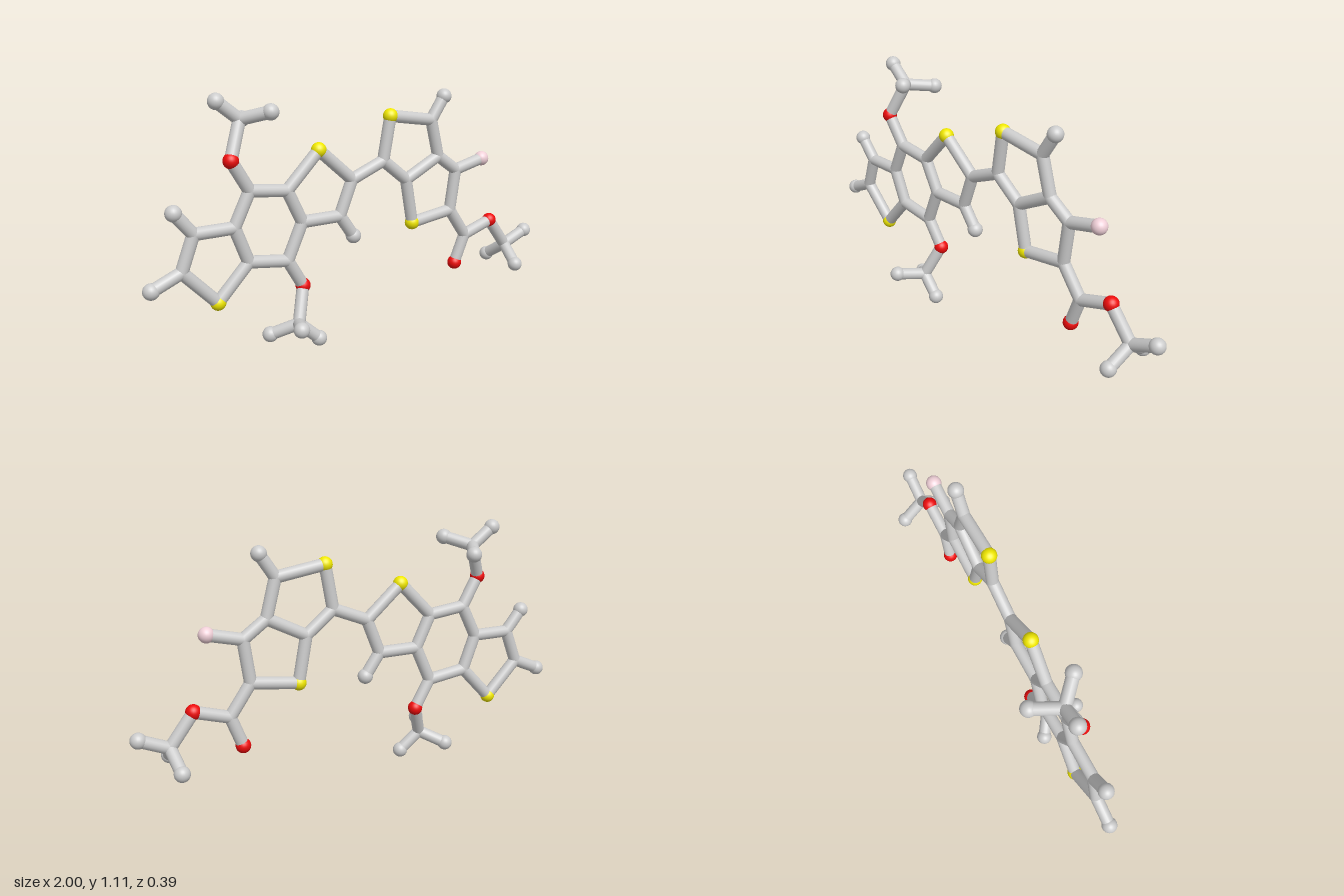
import * as THREE from 'three';

const BOND_RADIUS = 0.027;

// element: [part name, ball radius, colour]
const ELEMENTS = {
  C: ['carbon', 0.027, 0xcccccc],
  H: ['hydrogen', 0.034, 0xcccccc],
  O: ['oxygen', 0.033, 0xee0c0c],
  S: ['sulfur', 0.033, 0xf0e800],
  F: ['fluorine', 0.034, 0xf0d0d8],
};

// The rings lie in one plane that leans very slightly backwards
const planeZ = (y) => -0.022 + 0.025 * y;

// key: [element, x, y, optional z]
const ATOMS = {
  // left five-sided ring
  s1: ['S', -0.69, 0.265], a1: ['C', -0.84, 0.42], a2: ['C', -0.785, 0.57],
  h1: ['H', -0.967, 0.365], h2: ['H', -0.863, 0.665],
  // six-sided ring
  b1: ['C', -0.61, 0.57], b2: ['C', -0.54, 0.715], b3: ['C', -0.37, 0.695],
  b4: ['C', -0.30, 0.55], b5: ['C', -0.37, 0.39], b6: ['C', -0.55, 0.415],
  // middle five-sided ring
  s2: ['S', -0.22, 0.85], c1: ['C', -0.055, 0.705], c2: ['C', -0.115, 0.55],
  h3: ['H', -0.045, 0.45],
  // upper right ring
  d1: ['C', 0.105, 0.77], s3: ['S', 0.138, 0.965], d2: ['C', 0.36, 0.93],
  d3: ['C', 0.405, 0.76], d4: ['C', 0.23, 0.67], h4: ['H', 0.427, 1.032],
  // lower right ring
  s4: ['S', 0.27, 0.465], e1: ['C', 0.485, 0.495], e2: ['C', 0.51, 0.685],
  f1: ['F', 0.662, 0.722],
  // upper side group
  o1: ['O', -0.62, 0.847, 0.005], m1: ['C', -0.555, 1.0, -0.045],
  h5: ['H', -0.65, 1.077, -0.05], h6: ['H', -0.46, 1.033, 0.045], h7: ['H', -0.49, 0.983, -0.163],
  // lower side group
  o2: ['O', -0.295, 0.265, -0.02], m2: ['C', -0.35, 0.12, 0.04],
  h8: ['H', -0.403, 0.143, 0.163], h9: ['H', -0.452, 0.07, -0.03], h10: ['H', -0.258, 0.038, 0.05],
  // right-hand side group
  k1: ['C', 0.58, 0.36], o3: ['O', 0.53, 0.227, -0.02], o4: ['O', 0.735, 0.408, -0.016],
  m3: ['C', 0.84, 0.27, -0.02], h11: ['H', 0.965, 0.323, -0.018],
  h12: ['H', 0.822, 0.196, 0.086], h13: ['H', 0.822, 0.196, -0.128],
};

// Each chain joins its atoms in order
const CHAINS = [
  'b6 s1 a1 a2 b1', 'a1 h1', 'a2 h2',
  'b1 b2 b3 b4 b5 b6 b1',
  'b3 s2 c1 c2 b4', 'c2 h3', 'c1 d1',
  'd1 s3 d2 d3 d4 d1', 'd2 h4',
  'd4 s4 e1 e2 d3', 'e2 f1',
  'b2 o1 m1 h5', 'h6 m1 h7',
  'b5 o2 m2 h8', 'h9 m2 h10',
  'e1 k1 o4 m3 h11', 'k1 o3', 'h12 m3 h13',
];

export function createModel() {
  const model = new THREE.Group();
  const balls = new THREE.Group();
  const rods = new THREE.Group();
  balls.name = 'atoms';
  rods.name = 'bonds';
  model.add(balls, rods);

  const kinds = {};
  for (const [key, [name, radius, color]] of Object.entries(ELEMENTS)) {
    kinds[key] = {
      name,
      geometry: new THREE.SphereGeometry(radius, 24, 16),
      material: new THREE.MeshStandardMaterial({ color }),
    };
  }

  // Balls
  const points = {};
  for (const [key, [element, x, y, z = planeZ(y)]] of Object.entries(ATOMS)) {
    const { name, geometry, material } = kinds[element];
    const ball = new THREE.Mesh(geometry, material);
    ball.name = name;
    ball.position.set(x, y, z);
    points[key] = ball.position;
    balls.add(ball);
  }

  // Rods between neighbouring balls
  const up = new THREE.Vector3(0, 1, 0);
  for (const chain of CHAINS) {
    const keys = chain.split(' ');
    for (let i = 1; i < keys.length; i++) {
      const a = points[keys[i - 1]];
      const b = points[keys[i]];
      const direction = b.clone().sub(a);
      const rod = new THREE.Mesh(
        new THREE.CylinderGeometry(BOND_RADIUS, BOND_RADIUS, direction.length(), 20, 1, true),
        kinds.C.material,
      );
      rod.name = 'bond';
      rod.position.copy(a).lerp(b, 0.5);
      rod.quaternion.setFromUnitVectors(up, direction.normalize());
      rods.add(rod);
    }
  }
  return model;
}
